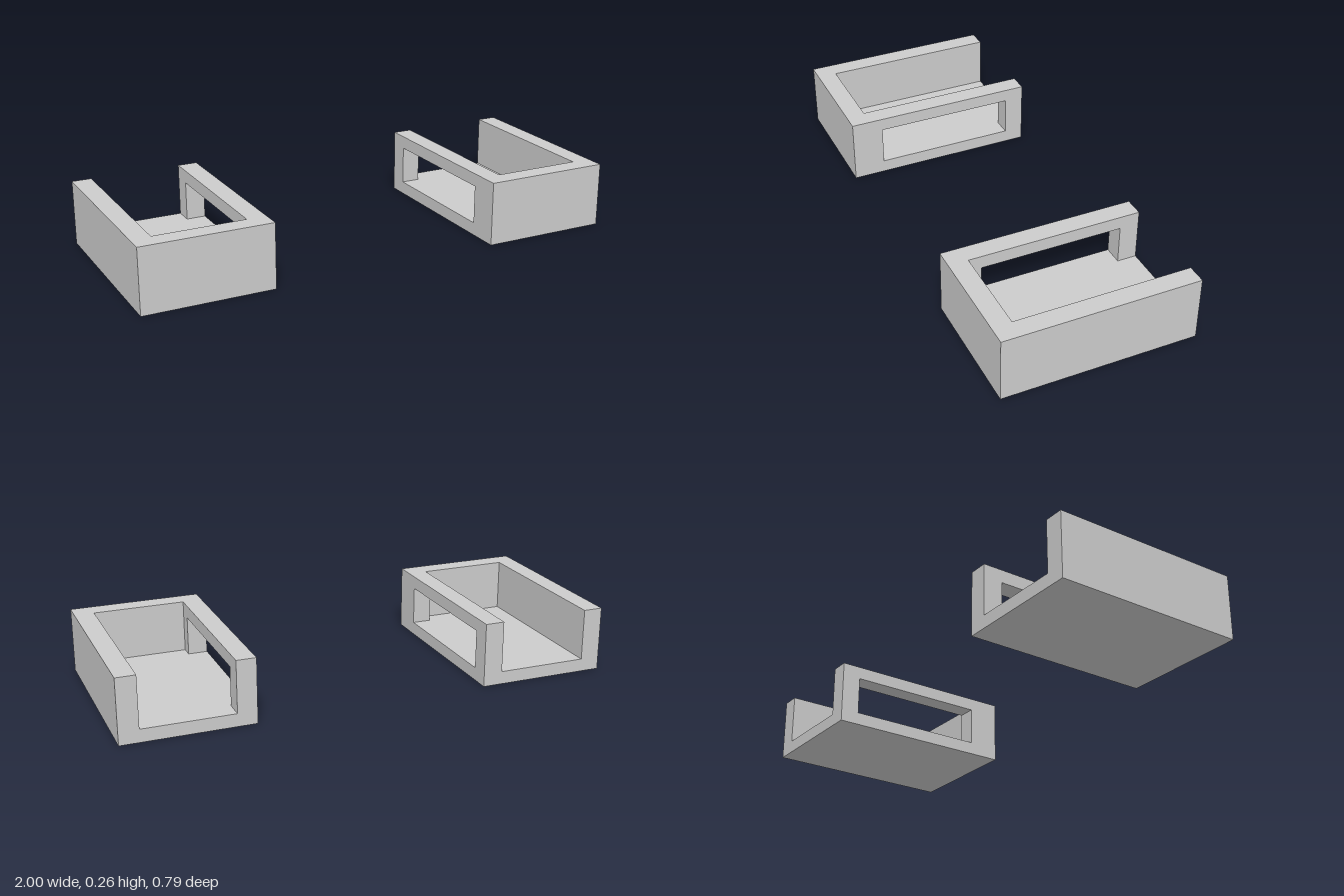
import * as THREE from 'three';

const U = 2 / 76; // module: the pair is 76 units wide
const material = new THREE.MeshStandardMaterial({ color: 0xcccccc, flatShading: true });

// Extrudes a plan outline of [x, z] points upward from y0 to y1 (all in units)
function slab(name, side, points, y0, y1) {
  const shape = new THREE.Shape(points.map(([x, z]) => new THREE.Vector2(side * x * U, -z * U)));
  const geometry = new THREE.ExtrudeGeometry(shape, { depth: (y1 - y0) * U, bevelEnabled: false });
  geometry.rotateX(-Math.PI / 2).translate(0, y0 * U, 0);
  const mesh = new THREE.Mesh(geometry, material);
  mesh.name = name;
  return mesh;
}

// One tray, open at the top and back, with a window in the wall facing the other tray
function tray(side) {
  const group = new THREE.Group();
  group.name = side > 0 ? 'leftTray' : 'rightTray';
  const inner = 18, outer = 38, back = -15, front = 15, wall = 3;
  const floorTop = 2, windowTop = 8, top = 10;
  const windowFront = front - 5, windowBack = back + wall;

  group.add(
    slab('floor', side, [[inner, back], [outer, back], [outer, front], [inner, front]], 0, floorTop),
    // Outer and front walls, returning to the front edge of the window
    slab('walls', side, [
      [outer, back], [outer, front], [inner, front], [inner, windowFront],
      [inner + wall, windowFront], [inner + wall, front - wall],
      [outer - wall, front - wall], [outer - wall, back],
    ], floorTop, windowTop),
    slab('backPost', side, [
      [inner, back], [inner + wall, back], [inner + wall, windowBack], [inner, windowBack],
    ], floorTop, windowTop),
    // U-shaped rim that bridges the window
    slab('rim', side, [
      [outer, back], [outer, front], [inner, front], [inner, back],
      [inner + wall, back], [inner + wall, front - wall],
      [outer - wall, front - wall], [outer - wall, back],
    ], windowTop, top),
  );
  return group;
}

export function createModel() {
  const model = new THREE.Group();
  model.name = 'trayPair';
  for (const side of [-1, 1]) model.add(tray(side));
  return model;
}
